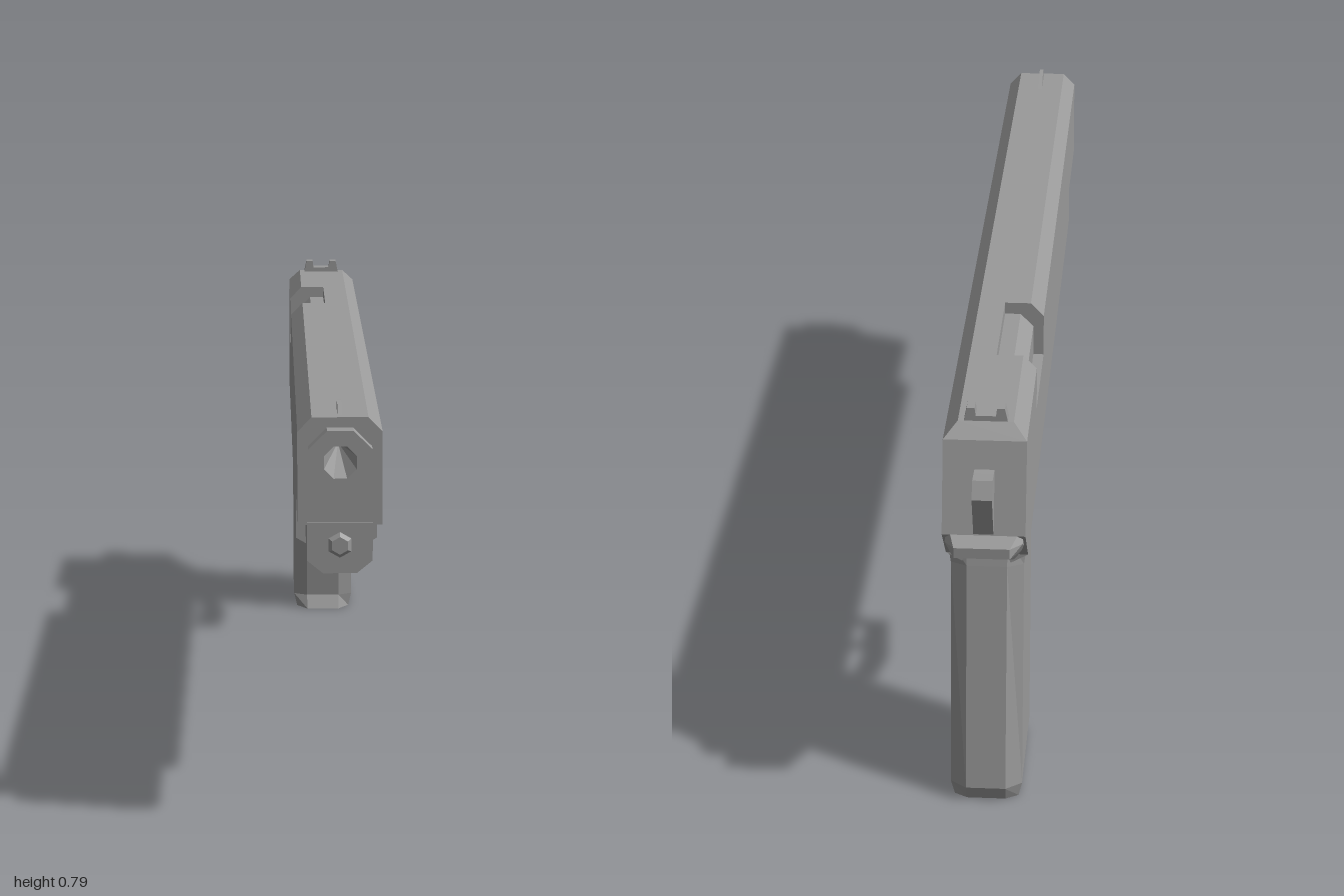
import * as THREE from 'three';
import { ConvexGeometry } from 'three/addons/geometries/ConvexGeometry.js';

const steel = new THREE.MeshStandardMaterial({ color: 0x9a9a9a });
steel.name = 'grey steel';

// Unshared vertices give every facet its own flat normal
function flat(geo) {
  const g = geo.index ? geo.toNonIndexed() : geo;
  g.computeVertexNormals();
  return g;
}

// Joins matching rings; caps are strips between opposite ring points
function loft(rings, capStart = true, capEnd = true) {
  const pos = [];
  const tri = (a, b, c) => {
    const [A, B, C] = [a, b, c].map((p) => new THREE.Vector3(...p));
    if (B.clone().sub(A).cross(C.clone().sub(A)).length() > 1e-9) pos.push(...a, ...b, ...c);
  };
  const quad = (a, b, c, d) => { tri(a, b, c); tri(a, c, d); };
  const n = rings[0].length;
  for (let i = 0; i < rings.length - 1; i++) {
    for (let j = 0; j < n; j++) {
      const k = (j + 1) % n;
      quad(rings[i][j], rings[i + 1][j], rings[i + 1][k], rings[i][k]);
    }
  }
  const first = rings[0], last = rings[rings.length - 1];
  for (let k = 0; k < n / 2 - 1; k++) {
    if (capStart) quad(first[k], first[k + 1], first[n - 2 - k], first[n - 1 - k]);
    if (capEnd) quad(last[n - 1 - k], last[n - 2 - k], last[k + 1], last[k]);
  }
  const g = new THREE.BufferGeometry();
  g.setAttribute('position', new THREE.Float32BufferAttribute(pos, 3));
  return g;
}

const shapeOf = (pts) => new THREE.Shape(pts.map((p) => new THREE.Vector2(...p)));

// Extrudes a side outline of [z, y] points across x
function sidePlate(pts, halfWidth, hole) {
  const shape = shapeOf(pts);
  if (hole) shape.holes.push(shapeOf(hole));
  const g = new THREE.ExtrudeGeometry(shape, { depth: halfWidth * 2, bevelEnabled: false });
  return g.rotateY(-Math.PI / 2).translate(halfWidth, 0, 0);
}

const mirrored = (half) => [...half, ...half.map(([x, y]) => [-x, y]).reverse()];
const at = (section, z) => section.map(([x, y]) => [x, y, typeof z === 'function' ? z(y) : z]);

export function createModel() {
  const group = new THREE.Group();
  const add = (name, geo) => {
    const mesh = new THREE.Mesh(flat(geo), steel);
    mesh.name = name;
    group.add(mesh);
    return mesh;
  };

  // Long body, with the port cut into its right upper side
  const half = [[0.04, 0.475], [0.075, 0.495], [0.075, 0.575], [0.075, 0.66],
    [0.075, 0.66], [0.075, 0.742], [0.05, 0.768], [0, 0.768]];
  const full = mirrored(half);
  const upper = full.map(([x, y]) => [x, Math.max(y, 0.575)]);
  const port = [...half, [0, 0.745], [-0.03, 0.745], [-0.055, 0.72], [-0.055, 0.66],
    ...full.slice(12)];
  const rearZ = (y) => {
    if (y > 0.75) return -0.88;
    if (y >= 0.575) return -0.905 - (0.742 - y) * 0.27;
    return -0.87;
  };
  add('slideFront', loft([at(upper, 0.97), at(upper, 0.73)], false, false));
  add('bodyMiddle', loft([at(full, 0.73), at(full, -0.36)]));
  add('ejectionPort', loft([at(port, -0.36), at(port, -0.6)], false, false));
  add('bodyRear', loft([at(full, -0.6), at(full, rearZ)]));

  // Front face with an opening for the barrel
  const face = shapeOf([[-0.075, 0.575], [0.075, 0.575], [0.075, 0.742], [0.05, 0.768],
    [-0.05, 0.768], [-0.075, 0.742]]);
  const opening = new THREE.Path();
  opening.absarc(0, 0.693, 0.045, 0, Math.PI * 2, true);
  face.holes.push(opening);
  add('slideFace', new THREE.ShapeGeometry(face, 4).translate(0, 0, 0.97));

  // Narrower frame under the muzzle
  const nose = mirrored([[0.03, 0.488], [0.058, 0.511], [0.058, 0.58]]);
  add('frameNose', loft([at(nose, 0.975), at(nose, 0.7)]));

  // Octagonal barrel end with a tapering bore, and the rod below it
  const turned = (pts, sides) => new THREE.LatheGeometry(
    pts.map((p) => new THREE.Vector2(...p)), sides, Math.PI / sides).rotateX(Math.PI / 2);
  add('muzzle', turned([[0.061, 0.94], [0.061, 1], [0.031, 1], [0, 0.82]], 8)
    .translate(0, 0.693, 0));
  add('rodEnd', turned([[0.023, 0.96], [0.023, 0.978], [0.016, 0.985], [0, 0.985]], 6)
    .rotateZ(Math.PI / 6).translate(0, 0.54, 0));

  // Raked grip with chamfered corners and a small toe
  const gripRing = ([y, f, fc, bc, b, w, a]) => [[f, -a], [f, a], [fc, w], [bc, w],
    [b, a], [b, -a], [bc, -w], [fc, -w]].map(([z, x]) => [x, y, z]);
  add('grip', loft([
    [0.52, -0.603, -0.618, -0.855, -0.865, 0.0745, 0.038],
    [0.47, -0.61, -0.625, -0.86, -0.874, 0.067, 0.037],
    [0.03, -0.66, -0.677, -0.912, -0.935, 0.067, 0.037],
    [0, -0.645, -0.68, -0.908, -0.922, 0.06, 0.036],
  ].map(gripRing)));

  // Flared tang above the back of the grip
  const tang = [];
  for (const s of [-1, 1]) {
    for (const [x, y, z] of [[0.07, 0.575, -0.9], [0.07, 0.56, -0.95], [0.05, 0.575, -1],
      [0.05, 0.555, -1], [0.05, 0.49, -0.88], [0.05, 0.48, -0.84], [0.07, 0.5, -0.85]]) {
      tang.push(new THREE.Vector3(s * x, y, z));
    }
  }
  add('tang', new ConvexGeometry(tang));

  add('hammer', sidePlate([[-0.9, 0.69], [-0.935, 0.692], [-0.972, 0.696], [-0.988, 0.665],
    [-0.955, 0.58], [-0.9, 0.58]], 0.018));

  // Trigger, guard and the strip they hang from
  add('guardStrip', sidePlate([[-0.24, 0.478], [-0.24, 0.468], [-0.26, 0.457],
    [-0.62, 0.457], [-0.62, 0.478]], 0.025));
  add('triggerGuard', sidePlate(
    [[-0.365, 0.465], [-0.387, 0.42], [-0.37, 0.338], [-0.51, 0.322], [-0.605, 0.343],
      [-0.62, 0.465]], 0.018,
    [[-0.405, 0.458], [-0.412, 0.42], [-0.402, 0.357], [-0.51, 0.342], [-0.592, 0.357],
      [-0.604, 0.458]]));
  add('trigger', sidePlate([[-0.485, 0.465], [-0.495, 0.41], [-0.463, 0.365],
    [-0.49, 0.382], [-0.515, 0.41], [-0.513, 0.465]], 0.01));

  // Sights
  add('frontSight', sidePlate([[0.955, 0.765], [0.93, 0.792], [0.915, 0.79], [0.855, 0.765]], 0.004));
  const notch = mirrored([[0.04, 0.765], [0.034, 0.793], [0.02, 0.793], [0.018, 0.778]]);
  add('rearSight', new THREE.ExtrudeGeometry(shapeOf(notch), { depth: 0.027, bevelEnabled: false })
    .translate(0, 0, -0.88));

  return group;
}
